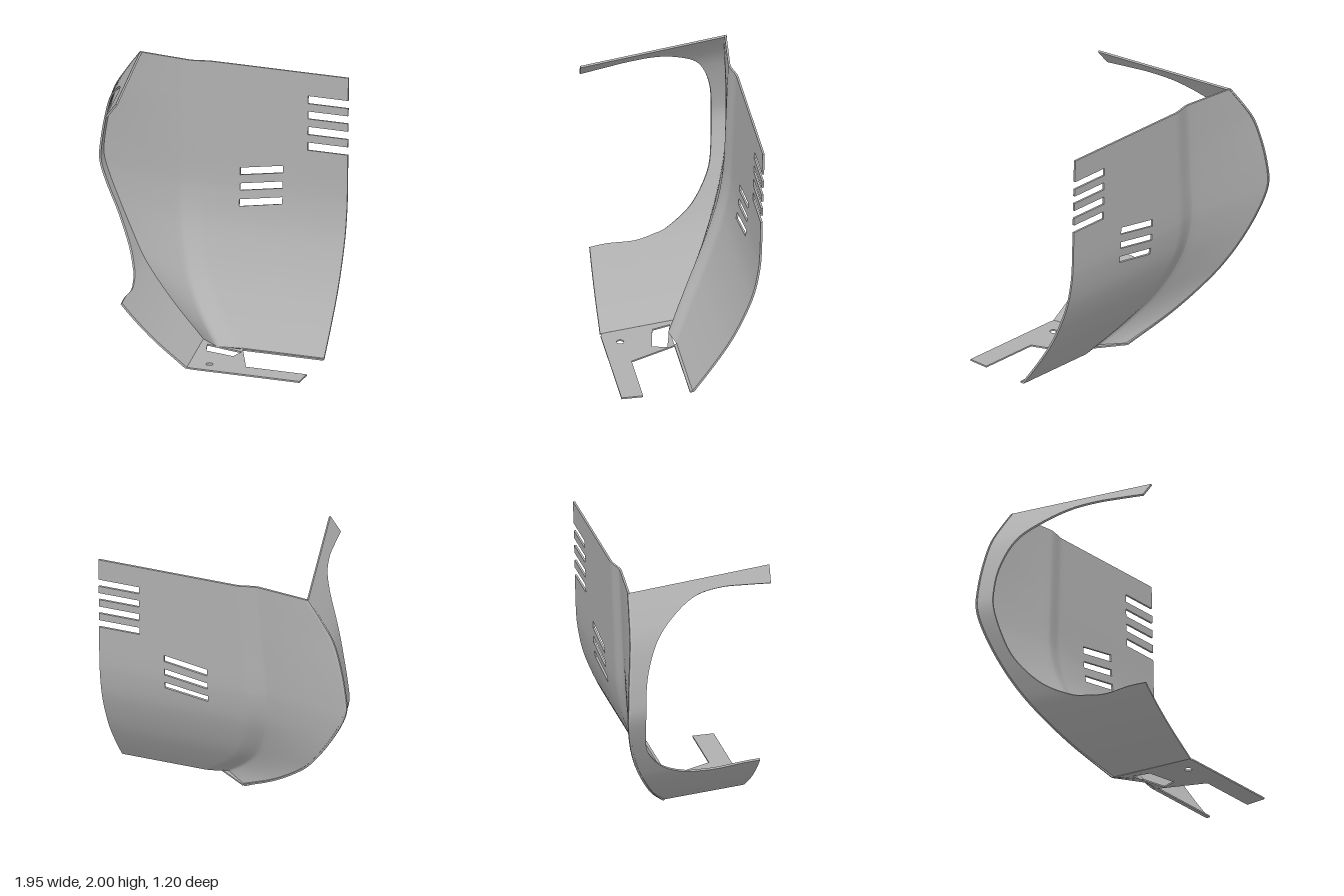
import * as THREE from 'three';
import { mergeGeometries } from 'three/addons/utils/BufferGeometryUtils.js';

// Smooth function through [input, output] pairs sorted by input
function curve(pts) {
  const slope = (i) => {
    const a = pts[Math.max(i - 1, 0)], b = pts[Math.min(i + 1, pts.length - 1)];
    return (b[1] - a[1]) / (b[0] - a[0]);
  };
  return (v) => {
    let i = 0;
    while (i < pts.length - 2 && v > pts[i + 1][0]) i++;
    const [x0, y0] = pts[i], [x1, y1] = pts[i + 1], h = x1 - x0;
    const t = THREE.MathUtils.clamp((v - x0) / h, 0, 1), t2 = t * t, t3 = t2 * t;
    return y0 * (2 * t3 - 3 * t2 + 1) + y1 * (3 * t2 - 2 * t3)
      + h * (slope(i) * (t3 - 2 * t2 + t) + slope(i + 1) * (t3 - t2));
  };
}

// Straight interpolation through [input, output] pairs
function linear(pts, v) {
  if (v <= pts[0][0]) return pts[0][1];
  for (let i = 1; i < pts.length; i++) {
    const [x0, y0] = pts[i - 1], [x1, y1] = pts[i];
    if (v <= x1) return y0 + (y1 - y0) * (v - x0) / (x1 - x0);
  }
  return pts[pts.length - 1][1];
}

// Sheet of metal from rows of points, with thickness and closed rims
function sheet(rows, thickness, isHole = () => false) {
  const n = rows[0].length, pts = rows.flat(), index = [];
  for (let i = 0; i < rows.length - 1; i++) {
    for (let j = 0; j < n - 1; j++) {
      if (isHole(i, j)) continue;
      const a = i * n + j, b = a + n;
      index.push(a, b, b + 1, a, b + 1, a + 1);
    }
  }
  const outer = new THREE.BufferGeometry().setFromPoints(pts);
  outer.setIndex(index);
  outer.computeVertexNormals();
  const normals = outer.attributes.normal;
  const backPts = pts.map((p, i) =>
    p.clone().addScaledVector(new THREE.Vector3().fromBufferAttribute(normals, i), -thickness));
  const inner = new THREE.BufferGeometry().setFromPoints(backPts);
  inner.setIndex([...index].reverse());
  inner.computeVertexNormals();

  const edges = new Map();
  for (let f = 0; f < index.length; f += 3) {
    for (let k = 0; k < 3; k++) {
      const a = index[f + k], b = index[f + (k + 1) % 3];
      edges.set(a + '_' + b, [a, b]);
    }
  }
  const rimPts = [];
  for (const [a, b] of edges.values()) {
    if (edges.has(b + '_' + a)) continue;
    rimPts.push(pts[b], pts[a], backPts[a], pts[b], backPts[a], backPts[b]);
  }
  const rim = new THREE.BufferGeometry().setFromPoints(rimPts);
  rim.computeVertexNormals();
  return mergeGeometries([outer.toNonIndexed(), inner.toNonIndexed(), rim]);
}

// Curves by height: side outline (x, z), main panel depth, crease position
const edgeX = curve([[0, -0.01], [0.2, -0.3], [0.43, -0.56], [0.6, -0.69], [0.8, -0.815], [1, -0.92],
  [1.15, -0.97], [1.3, -0.96], [1.5, -0.92], [1.7, -0.855], [1.85, -0.76], [2, -0.65]]);
const edgeZ = curve([[0, -0.1], [0.2, -0.25], [0.4, -0.37], [0.6, -0.47], [0.8, -0.54], [1, -0.585],
  [1.15, -0.6], [1.4, -0.588], [1.7, -0.557], [2, -0.522]]);
const mainZ = curve([[0, 0.015], [0.2, -0.13], [0.4, -0.26], [0.6, -0.36], [0.8, -0.435], [1, -0.475],
  [1.15, -0.487], [1.4, -0.493], [2, -0.508]]);
const creaseX = curve([[0, 0.25], [0.2, 0.06], [0.4, -0.08], [0.7, -0.19], [1, -0.23], [1.5, -0.2], [2, -0.165]]);
const CREASE = 0.085, BULGE = 0.03, THICK = 0.015;

function panelZ(x, y) {
  const inner = creaseX(y) - CREASE;
  if (x >= inner) {
    return mainZ(y) + BULGE * (1 - THREE.MathUtils.smoothstep(x, inner, inner + 2 * CREASE));
  }
  return THREE.MathUtils.lerp(mainZ(y) + BULGE, edgeZ(y), (inner - x) / (inner - edgeX(y)));
}

// Main panel: crease, side wing, three slanted slots and four open slots
function panelGeometry() {
  const slanted = [[0.948, 1.0], [1.067, 1.12], [1.185, 1.24]];
  const open = [[1.41, 1.47], [1.53, 1.59], [1.65, 1.708], [1.767, 1.826]];
  const ys = [...slanted.flat(), ...open.flat()];
  for (let i = 0; i <= 50; i++) {
    const y = i * 0.04;
    if (ys.every((v) => Math.abs(v - y) > 0.008)) ys.push(y);
  }
  ys.sort((a, b) => a - b);
  const steps = [10, 10, 5, 5, 3, 3];
  const rows = ys.map((y) => {
    const c = creaseX(y);
    const stops = [edgeX(y), c - CREASE, c + CREASE, Math.max(0.14, 0.4 - 0.4 * y), 0.47, 0.66, 0.97];
    const xs = [stops[0]];
    steps.forEach((n, s) => {
      for (let k = 1; k <= n; k++) xs.push(THREE.MathUtils.lerp(stops[s], stops[s + 1], k / n));
    });
    const amount = linear([[0.78, 0], [0.94, 1], [1.25, 1], [1.39, 0]], y);
    return xs.map((x) => {
      const yy = y + amount * linear([[-0.1, 0], [0.14, -0.0275], [0.47, 0.0275], [0.66, 0]], x);
      return new THREE.Vector3(x, yy, panelZ(x, yy));
    });
  });
  const within = (ranges, y) => ranges.some(([a, b]) => y > a && y < b);
  return sheet(rows, THICK, (i, j) => {
    const y = (ys[i] + ys[i + 1]) / 2;
    return (j >= 25 && j < 30 && within(slanted, y)) || (j >= 33 && within(open, y));
  });
}

// Side wall: strip between the outer border and the rounded opening, in (z, y)
function wallGeometry() {
  const opening = new THREE.SplineCurve([[0.59, 1.89], [0.4, 1.91], [0.2, 1.925], [0, 1.905], [-0.18, 1.82],
    [-0.34, 1.68], [-0.435, 1.45], [-0.46, 1.2], [-0.445, 0.95], [-0.4, 0.76], [-0.26, 0.575],
    [-0.07, 0.465], [0.06, 0.435], [0.2, 0.42], [0.4, 0.432], [0.535, 0.43]]
    .map(([z, y]) => new THREE.Vector2(z, y)));
  const borderZ = [0.6, 0.4, 0.2, 0, -0.25, edgeZ(2), 0, 0, 0, 0, 0, 0, edgeZ(0), 0.18, 0.38, 0.55];
  const borderY = [2, 2, 2, 2, 2, 2, 1.62, 1.2, 0.9, 0.65, 0.4, 0.17, 0, 0, 0, 0];
  const rows = [], sub = 6, count = 15 * sub;
  for (let i = 0; i <= count; i++) {
    const s = Math.min(Math.floor(i / sub), 14), f = i / sub - s;
    const y0 = THREE.MathUtils.lerp(borderY[s], borderY[s + 1], f);
    const onSeam = s >= 5 && s < 12;
    const z0 = onSeam ? edgeZ(y0) : THREE.MathUtils.lerp(borderZ[s], borderZ[s + 1], f);
    const p = opening.getPoint(i / count), row = [];
    for (let j = 0; j <= 10; j++) {
      const z = THREE.MathUtils.lerp(z0, p.x, j / 10), y = THREE.MathUtils.lerp(y0, p.y, j / 10);
      const lean = linear([[0.43, 0.155], [2, 0.195]], y);
      row.push(new THREE.Vector3(edgeX(y) + lean * (z - edgeZ(y)), y, z));
    }
    rows.push(row);
  }
  return sheet(rows, THICK);
}

// Floor bracket: flat plate in (x, z) with a slot and a bolt hole
function floorGeometry() {
  const points = (list) => list.map(([x, z]) => new THREE.Vector2(x, z));
  const shape = new THREE.Shape(points([[0, -0.1], [0.22, 0.045], [0.35, 0.045], [0.5, 0.39], [0.97, 0.39],
    [0.97, 0.55], [0.13, 0.55], [0.09, 0.54]]));
  shape.holes.push(new THREE.Path(points([[0.07, 0.03], [0.11, 0.165], [0.335, 0.21], [0.362, 0.1]])));
  shape.holes.push(new THREE.Path().absarc(0.23, 0.425, 0.027, 0, Math.PI * 2, true));
  return new THREE.ExtrudeGeometry(shape, { depth: 0.012, bevelEnabled: false, curveSegments: 16 })
    .rotateX(Math.PI / 2).translate(0, 0.012, 0);
}

export function createModel() {
  const model = new THREE.Group();
  model.name = 'bodyPanel';
  const metal = new THREE.MeshStandardMaterial({ color: 0xb0b0b0, side: THREE.DoubleSide });
  metal.name = 'grey metal';
  const add = (name, geometry) => {
    const mesh = new THREE.Mesh(geometry, metal);
    mesh.name = name;
    model.add(mesh);
    return mesh;
  };
  add('mainPanel', panelGeometry());
  add('sideWall', wallGeometry());
  add('floorBracket', floorGeometry());
  // Lip along the bottom of the main panel
  add('bottomLip', new THREE.BoxGeometry(0.64, 0.012, 0.03)).position.set(0.65, 0.006, 0.03);
  return model;
}
